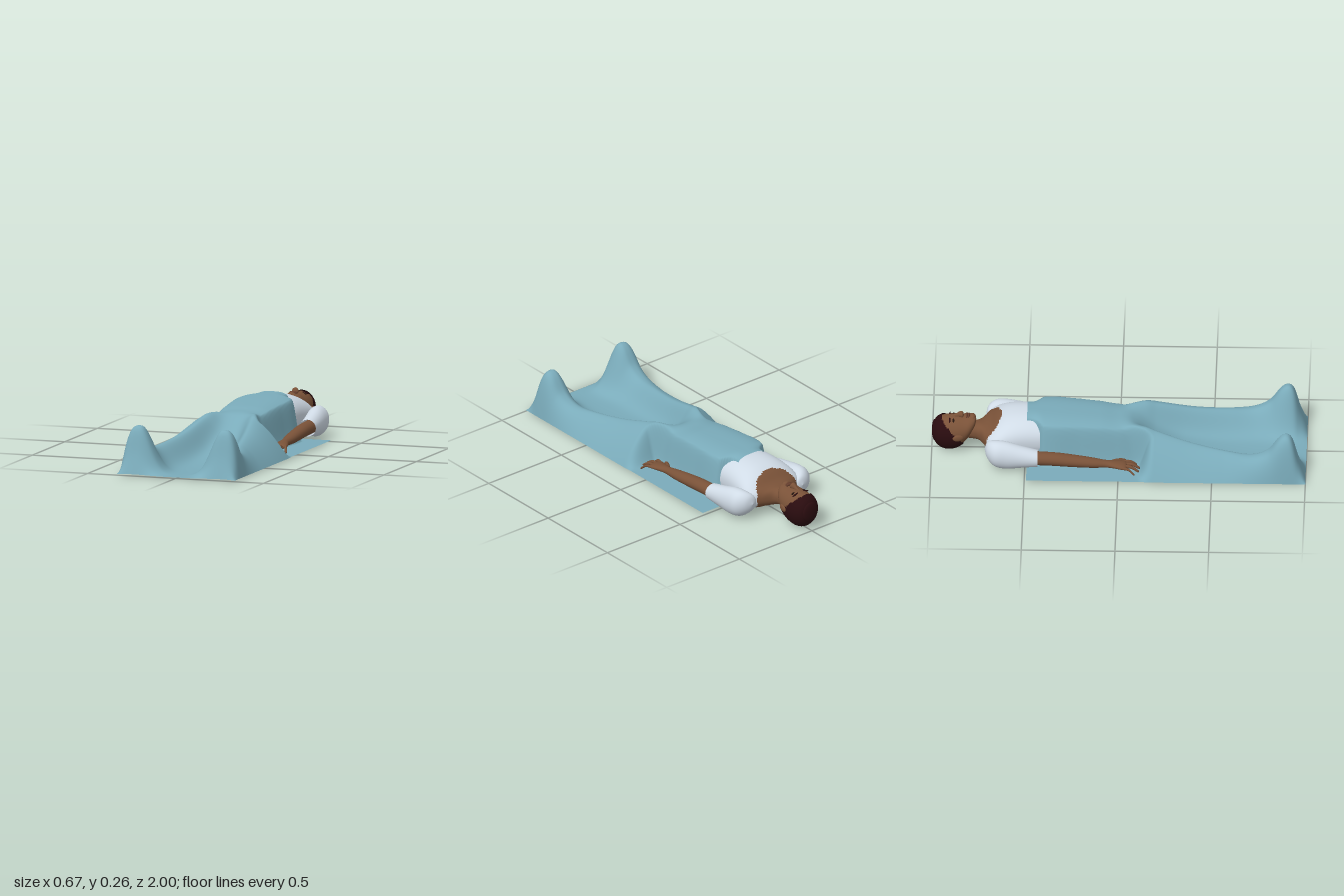
import * as THREE from 'three';

const mat = (name, color, side = THREE.FrontSide) =>
  Object.assign(new THREE.MeshStandardMaterial({ color, side }), { name });

// Smooth interpolation through rows [t, value, value, ...]
function track(rows, t, col = 1) {
  const n = rows.length;
  let i = 0;
  while (i < n - 2 && t > rows[i + 1][0]) i++;
  const slope = k => {
    const p = rows[Math.max(k - 1, 0)], q = rows[Math.min(k + 1, n - 1)];
    return (q[col] - p[col]) / (q[0] - p[0]);
  };
  const d = rows[i + 1][0] - rows[i][0];
  const u = THREE.MathUtils.clamp((t - rows[i][0]) / d, 0, 1), u2 = u * u, u3 = u2 * u;
  return (2 * u3 - 3 * u2 + 1) * rows[i][col] + (u3 - 2 * u2 + u) * d * slope(i) +
    (3 * u2 - 2 * u3) * rows[i + 1][col] + (u3 - u2) * d * slope(i + 1);
}

// Skin over oval rings [z, cx, cy, rx, ry] listed by rising z.
// pick(x, y, z) gives the material slot of a quad, or -1 to leave it out.
function loft(rings, { sides = 20, steps = 5, grow = 0, power = 1, pick = () => 0 } = {}) {
  const rows = rings.map((r, i) => [i, ...r]);
  const count = (rings.length - 1) * steps, pos = [], slots = [[], []];
  const bend = v => Math.sign(v) * Math.abs(v) ** power;
  for (let i = 0; i <= count; i++) {
    const [z, cx, cy, rx, ry] = [1, 2, 3, 4, 5].map(c => track(rows, i / steps, c));
    for (let j = 0; j < sides; j++) {
      const a = (j / sides) * Math.PI * 2;
      pos.push(cx + (Math.max(rx, 0) + grow) * bend(Math.cos(a)), cy + (Math.max(ry, 0) + grow) * bend(Math.sin(a)), z);
    }
  }
  for (let i = 0; i < count; i++) for (let j = 0; j < sides; j++) {
    const k = (j + 1) % sides, a = i * sides + j, b = i * sides + k, c = a + sides, d = b + sides;
    const mid = o => (pos[a * 3 + o] + pos[d * 3 + o]) / 2;
    const s = pick(mid(0), mid(1), mid(2));
    if (s >= 0) slots[s].push(a, b, c, b, d, c);
  }
  const g = new THREE.BufferGeometry();
  g.setAttribute('position', new THREE.Float32BufferAttribute(pos, 3));
  g.setIndex([...slots[0], ...slots[1]]);
  g.addGroup(0, slots[0].length, 0);
  if (slots[1].length) g.addGroup(slots[0].length, slots[1].length, 1);
  g.computeVertexNormals();
  return g;
}

// Height of the draped blanket
const HALF = 0.335;
const torsoTop = [[-0.5, 0.257], [-0.3, 0.25], [-0.1, 0.235], [0, 0.222], [0.2, 0.215]];
const torsoHalf = [[-0.5, 0.108], [-0.45, 0.115], [-0.4, 0.168], [-0.2, 0.165], [0, 0.15], [0.1, 0.14], [0.2, 0.15]];
const legTop = [[0, 0.22], [0.14, 0.222], [0.2, 0.205], [0.4, 0.153], [0.6, 0.125], [0.72, 0.122], [0.8, 0.16],
  [0.86, 0.24], [0.9, 0.26], [0.93, 0.23], [0.96, 0.12], [1, 0.01]];
const valley = [[0, 0.22], [0.08, 0.2], [0.2, 0.115], [0.35, 0.05], [0.6, 0.012], [1, 0.006]];
const legCentre = [[0, 0.1], [0.15, 0.13], [0.4, 0.175], [0.7, 0.228], [0.9, 0.235], [1, 0.235]];
function drape(x, z) {
  const a = Math.abs(x), step = THREE.MathUtils.smoothstep;
  const w = track(torsoHalf, z), top = track(torsoTop, z);
  const torso = 0.009 + (top - 0.009) * (1 - 0.14 * (a / w) ** 3) * (1 - step(a, w - 0.025, w + 0.03));
  const c = track(legCentre, z), r = track(legTop, z), v = Math.min(track(valley, z), r);
  const power = THREE.MathUtils.lerp(1.6, 3.4, step(z, 0.55, 0.88));
  const leg = a < c
    ? v + (r - v) * Math.exp(-(((c - a) / (0.06 + 0.03 * step(z, 0.2, 0.8))) ** 2))
    : 0.006 + (r - 0.006) * (1 - ((a - c) / (HALF - c)) ** power);
  const start = 0.1 * step(a, 0.1, 0.18);
  return THREE.MathUtils.lerp(torso, leg, step(z, start, start + 0.085));
}

export function createModel() {
  const skin = mat('skin', 0x7a5238, THREE.DoubleSide);
  const hair = mat('hair', 0x2a0c0f, THREE.DoubleSide);
  const shirt = mat('shirt', 0xd0dbe6, THREE.DoubleSide);
  const cloth = mat('blanket', 0x7aabba, THREE.DoubleSide);
  const dark = mat('eye', 0x24150f);
  const lip = mat('lips', 0x68402f);

  const model = new THREE.Group();
  model.name = 'recliningFigure';
  const add = (name, geometry, material, parent = model) => {
    const m = new THREE.Mesh(geometry, material);
    m.name = name;
    parent.add(m);
    return m;
  };
  const blob = (name, material, p, s, parent) => {
    const m = add(name, new THREE.SphereGeometry(1, 16, 12), material, parent);
    m.position.set(...p);
    m.scale.set(...s);
    return m;
  };

  // Blanket
  const sheet = new THREE.PlaneGeometry(HALF * 2, 1.49, 90, 170).rotateX(-Math.PI / 2).translate(0, 0, 0.255);
  const p = sheet.attributes.position;
  for (let i = 0; i < p.count; i++) p.setY(i, drape(p.getX(i), p.getZ(i)));
  sheet.computeVertexNormals();
  add('blanket', sheet, cloth);

  // Upper body: shirt with a scooped neckline, bare neck
  const neckline = (x, y, z) => ((x / 0.135) ** 2 + ((z + 0.72) / 0.092) ** 2 < 1 || z < -0.73 ? 1 : 0);
  add('upperBody', loft([
    [-0.83, 0, 0.12, 0.052, 0.045], [-0.78, 0, 0.115, 0.053, 0.046], [-0.745, 0, 0.112, 0.062, 0.05],
    [-0.715, 0, 0.108, 0.115, 0.056], [-0.685, 0, 0.108, 0.17, 0.068], [-0.64, 0, 0.112, 0.182, 0.098],
    [-0.58, 0, 0.12, 0.175, 0.115], [-0.5, 0, 0.125, 0.165, 0.12], [-0.42, 0, 0.124, 0.158, 0.118],
  ], { sides: 80, steps: 8, power: 0.88, pick: neckline }), [shirt, skin]);

  // Arms, sleeves and hands
  for (const side of [1, -1]) {
    const arm = new THREE.Group();
    arm.name = side > 0 ? 'leftArm' : 'rightArm';
    model.add(arm);
    const limb = (name, rings, material, opts) =>
      add(name, loft(rings.map(([z, x, ...r]) => [z, x * side, ...r]), opts), material, arm);
    limb('sleeve', [
      [-0.715, 0.172, 0.1, 0, 0], [-0.7, 0.18, 0.1, 0.042, 0.045], [-0.66, 0.2, 0.093, 0.06, 0.073],
      [-0.6, 0.207, 0.087, 0.06, 0.078], [-0.52, 0.216, 0.083, 0.053, 0.062], [-0.43, 0.222, 0.078, 0.047, 0.045],
    ], shirt, { sides: 28 });
    limb('forearm', [
      [-0.5, 0.22, 0.08, 0.04, 0.037], [-0.35, 0.222, 0.075, 0.04, 0.035], [-0.27, 0.222, 0.068, 0.039, 0.033],
      [-0.15, 0.225, 0.058, 0.033, 0.027], [-0.07, 0.228, 0.053, 0.024, 0.02], [-0.03, 0.23, 0.052, 0.031, 0.017],
      [0.02, 0.232, 0.048, 0.042, 0.015], [0.042, 0.232, 0.045, 0.037, 0.011], [0.048, 0.232, 0.044, 0, 0],
    ], skin);
    [0.1, 0.117, 0.112, 0.09].forEach((tip, i) => {
      const x0 = 0.2 + 0.021 * i, x1 = 0.186 + 0.034 * i, zm = (0.02 + tip) / 2, r = i === 3 ? 0.0075 : 0.009;
      limb('finger', [
        [0.015, x0, 0.047, r, r], [zm, (x0 + x1) / 2, 0.046, r, r],
        [tip - 0.008, x1, 0.026, r * 0.85, r * 0.85], [tip, x1, 0.022, 0, 0],
      ], skin, { sides: 10 });
    });
    limb('thumb', [
      [-0.05, 0.212, 0.048, 0.012, 0.012], [-0.01, 0.186, 0.045, 0.014, 0.012],
      [0.03, 0.165, 0.036, 0.01, 0.009], [0.048, 0.159, 0.03, 0, 0],
    ], skin, { sides: 10 });
  }

  // Head, face up
  const head = new THREE.Group();
  head.name = 'head';
  model.add(head);
  const skull = [
    [-0.994, 0, 0.108, 0, 0], [-0.985, 0, 0.107, 0.042, 0.05], [-0.96, 0, 0.105, 0.066, 0.08],
    [-0.92, 0, 0.103, 0.077, 0.095], [-0.87, 0, 0.108, 0.08, 0.092], [-0.83, 0, 0.122, 0.076, 0.077],
    [-0.8, 0, 0.142, 0.068, 0.06], [-0.778, 0, 0.162, 0.05, 0.04], [-0.767, 0, 0.175, 0.03, 0.022], [-0.763, 0, 0.18, 0, 0],
  ];
  add('face', loft(skull, { sides: 40 }), skin, head);
  add('hair', loft(skull, {
    sides: 64, steps: 8, grow: 0.007,
    pick: (x, y, z) => (z < -0.955 || (z < -0.83 && y < 0.2 - (z + 0.95) * 1.1) ? 0 : -1),
  }), hair, head);
  blob('crown', hair, [0, 0.108, -0.985], [0.05, 0.058, 0.015], head);
  add('nose', loft([
    [-0.897, 0, 0.193, 0.007, 0.008], [-0.87, 0, 0.2, 0.009, 0.012], [-0.848, 0, 0.207, 0.015, 0.019],
    [-0.835, 0, 0.206, 0.018, 0.015], [-0.828, 0, 0.203, 0, 0],
  ], { sides: 16 }), skin, head);
  blob('upperLip', lip, [0, 0.203, -0.813], [0.025, 0.008, 0.006], head);
  blob('lowerLip', lip, [0, 0.203, -0.803], [0.021, 0.009, 0.006], head);
  blob('chin', skin, [0, 0.192, -0.782], [0.026, 0.017, 0.016], head);
  for (const s of [1, -1]) {
    blob('eye', dark, [0.033 * s, 0.189, -0.884], [0.014, 0.005, 0.006], head).rotation.z = -0.3 * s;
    blob('eyebrow', hair, [0.035 * s, 0.191, -0.904], [0.02, 0.005, 0.004], head).rotation.z = -0.3 * s;
    blob('ear', skin, [0.084 * s, 0.108, -0.858], [0.009, 0.019, 0.03], head).rotation.y = -0.2 * s;
  }
  return model;
}
